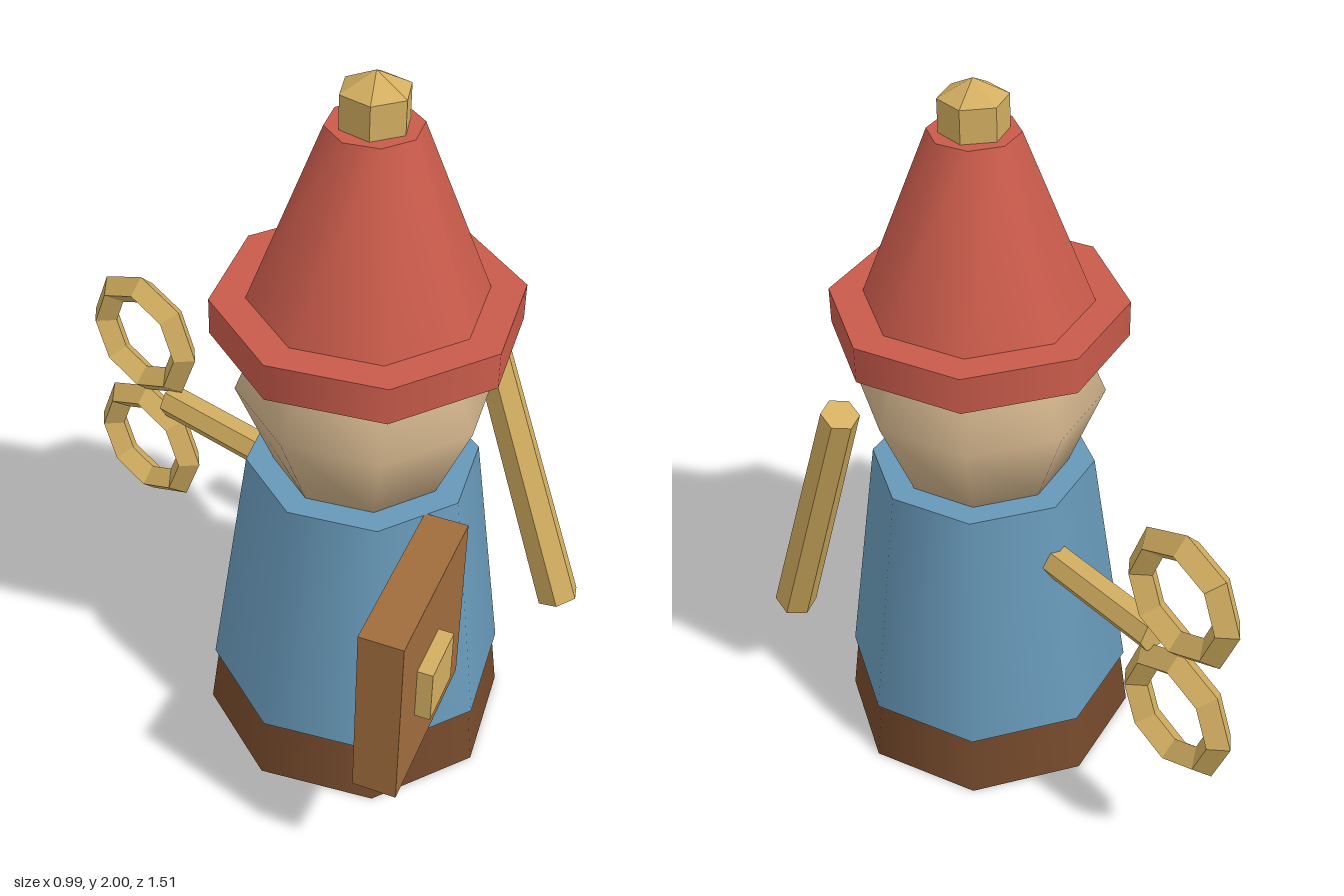
import * as THREE from 'three';

const mat = (name, color, flatShading = false) => {
  const m = new THREE.MeshStandardMaterial({ color, flatShading });
  m.name = name;
  return m;
};

export function createModel() {
  const root = new THREE.Group();
  root.name = 'windUpGnome';

  const red = mat('hatRed', 0xc95b4b);
  const blue = mat('coatBlue', 0x6798b8);
  const darkBrown = mat('baseBrown', 0x74492b);
  const brown = mat('woodBrown', 0xa06c3c);
  const skin = mat('skin', 0xd2b48c);
  const gold = mat('brass', 0xd2ae60, true);

  const add = (parent, name, geometry, material, x = 0, y = 0, z = 0) => {
    const mesh = new THREE.Mesh(geometry, material);
    mesh.name = name;
    mesh.position.set(x, y, z);
    parent.add(mesh);
    return mesh;
  };
  // Upright tapered prism between two heights
  const prism = (parent, name, y0, y1, r0, r1, sides, material) =>
    add(parent, name, new THREE.CylinderGeometry(r1, r0, y1 - y0, sides), material, 0, (y0 + y1) / 2, 0);

  // Figure: stacked parts around one upright axis
  const figure = new THREE.Group();
  figure.name = 'figure';
  figure.position.set(0.033, 0, 0.24);
  root.add(figure);
  prism(figure, 'base', 0, 0.185, 0.416, 0.393, 8, darkBrown);
  prism(figure, 'coat', 0.185, 0.89, 0.404, 0.307, 8, blue);
  add(figure, 'head', new THREE.SphereGeometry(0.333, 8, 4), skin, 0, 1.125, 0);
  prism(figure, 'hatBrim', 1.3, 1.4, 0.392, 0.392, 8, red);
  prism(figure, 'hatCone', 1.4, 1.865, 0.302, 0.118, 8, red);
  prism(figure, 'hatKnob', 1.865, 1.953, 0.089, 0.089, 6, gold);
  add(figure, 'hatKnobTip', new THREE.ConeGeometry(0.089, 0.047, 6), gold, 0, 1.9765, 0);

  // Winding key at the back
  const key = new THREE.Group();
  key.name = 'windingKey';
  key.position.set(0.033, 0.71, 0);
  root.add(key);
  const shaft = new THREE.CylinderGeometry(0.048, 0.048, 0.41, 6);
  shaft.rotateY(Math.PI / 2).rotateX(Math.PI / 2);
  add(key, 'keyShaft', shaft, gold, 0, 0, -0.255);
  for (const side of [1, -1]) {
    const ring = new THREE.TorusGeometry(0.154, 0.043, 4, 8).rotateY(Math.PI / 2);
    add(key, side > 0 ? 'upperKeyRing' : 'lowerKeyRing', ring, gold, 0, 0.19 * side, -0.555);
  }

  // Slanted rod on the left side
  const rod = add(root, 'rod', new THREE.CylinderGeometry(0.051, 0.06, 0.909, 6), gold, 0.437, 0.748, 0.477);
  rod.rotation.x = -0.38;

  // Wooden panel with a brass latch, turned outwards
  const panel = new THREE.Group();
  panel.name = 'panel';
  panel.position.set(-0.258, 0.63, 0.63);
  panel.rotation.y = 0.3;
  root.add(panel);
  add(panel, 'panelBoard', new THREE.BoxGeometry(0.466, 0.52, 0.115), brown);
  add(panel, 'panelLatch', new THREE.BoxGeometry(0.155, 0.155, 0.08), gold, -0.042, 0.003, 0.058);

  return root;
}
